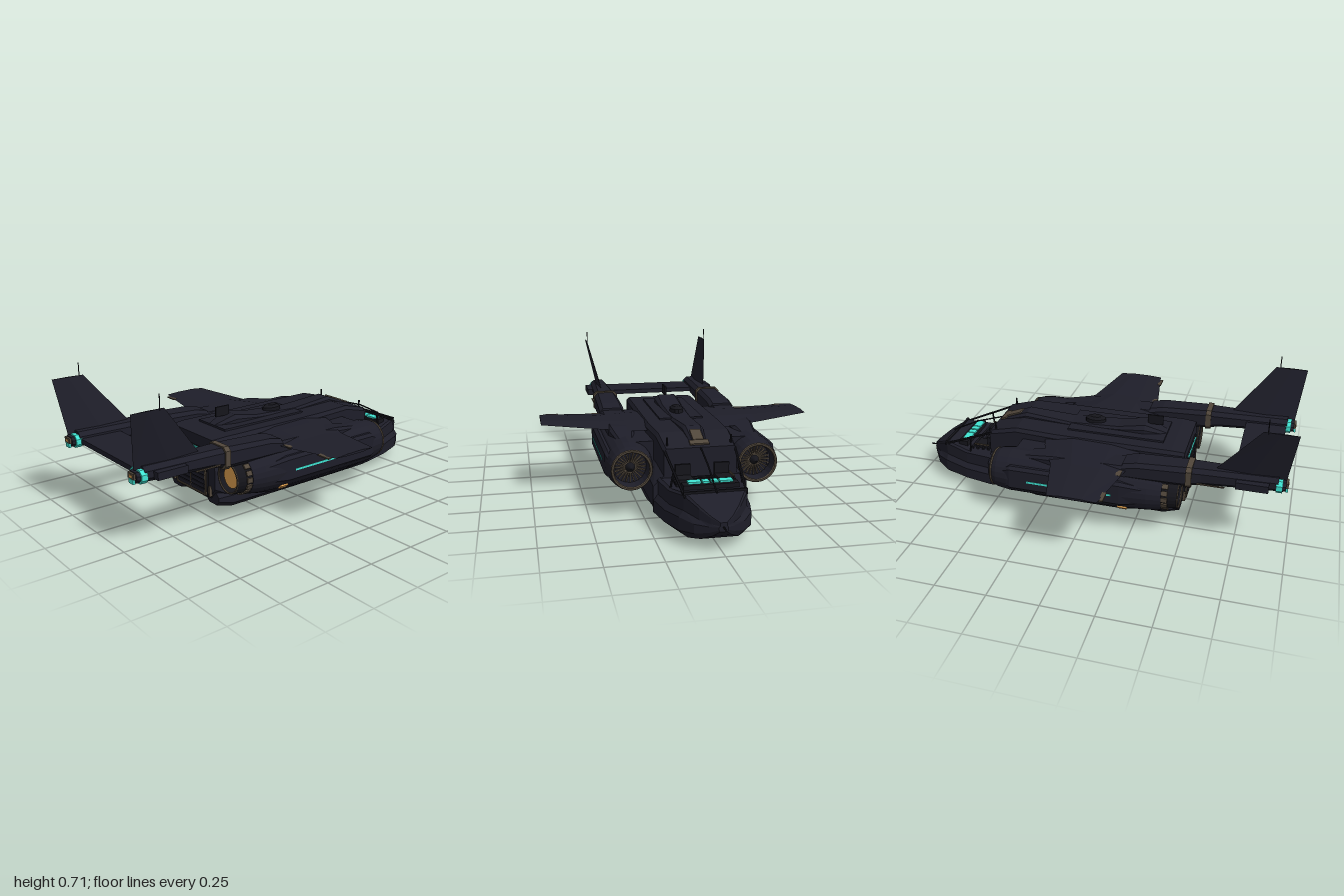
import * as THREE from 'three';

const mat = (name, color, opts = {}) => {
  const m = new THREE.MeshStandardMaterial({ color, flatShading: true, ...opts });
  m.name = name;
  return m;
};

export function createModel() {
  const root = new THREE.Group();
  root.name = 'dropship';
  const hull = mat('navy hull', 0x1e1e29);
  const dark = mat('dark metal', 0x15151b, { side: THREE.DoubleSide });
  const bronze = mat('bronze trim', 0x51473b, { side: THREE.DoubleSide });
  const teal = mat('teal light', 0x40e6d4);
  const orange = mat('orange glow', 0xe6a653);

  const add = (name, geo, m, x = 0, y = 0, z = 0) => {
    const mesh = new THREE.Mesh(geo, m);
    mesh.name = name;
    mesh.position.set(x, y, z);
    root.add(mesh);
    return mesh;
  };
  const box = (name, m, w, h, d, x, y, z) => add(name, new THREE.BoxGeometry(w, h, d), m, x, y, z);
  // Capped skin through rings of 3D points; s = -1 mirrors it to the other side
  const loft = (name, m, rings, s = 1) => {
    const R = rings.map(r => {
      const q = r.map(p => [p[0] * s, p[1], p[2]]);
      return s < 0 ? q.reverse() : q;
    });
    const pos = [], n = R[0].length, tri = (...t) => t.forEach(p => pos.push(...p));
    for (let i = 0; i < R.length - 1; i++) for (let j = 0; j < n; j++) {
      const k = (j + 1) % n;
      tri(R[i][j], R[i][k], R[i + 1][k]);
      tri(R[i][j], R[i + 1][k], R[i + 1][j]);
    }
    const a = R[0], b = R[R.length - 1];
    for (let j = 1; j < n - 1; j++) { tri(a[0], a[j + 1], a[j]); tri(b[0], b[j], b[j + 1]); }
    const g = new THREE.BufferGeometry();
    g.setAttribute('position', new THREE.Float32BufferAttribute(pos, 3));
    g.computeVertexNormals();
    return add(name, g, m);
  };
  // Symmetric fuselage section: bottom, waist and top half widths
  const section = ([z, y0, y1, wl, wt]) => {
    const h = y1 - y0;
    const half = [[wl * 0.75, y0], [wl, y0 + h * 0.18], [wl, y0 + h * 0.48], [wt, y0 + h * 0.62], [wt, y1 - h * 0.05], [wt * 0.93, y1]];
    return [...half, ...half.map(([x, y]) => [-x, y]).reverse()].map(([x, y]) => [x, y, z]);
  };
  // Chamfered rectangle section
  const oct = (x, z, w, y0, y1, c) => [[w, y0 + c], [w, y1 - c], [w - c, y1], [c - w, y1], [-w, y1 - c], [-w, y0 + c], [c - w, y0], [w - c, y0]]
    .map(([a, y]) => [x + a, y, z]);
  const circle = (x, y, z, r, n = 24) => Array.from({ length: n }, (_, i) => {
    const a = i / n * Math.PI * 2;
    return [x + r * Math.cos(a), y + r * Math.sin(a), z];
  });
  const bar = (name, m, a, b, r = 0.006) => {
    const A = new THREE.Vector3(...a), B = new THREE.Vector3(...b), d = B.clone().sub(A);
    const mesh = add(name, new THREE.CylinderGeometry(r, r, d.length(), 6), m);
    mesh.position.copy(A).add(B).multiplyScalar(0.5);
    mesh.quaternion.setFromUnitVectors(new THREE.Vector3(0, 1, 0), d.normalize());
  };

  // Nose with open cockpit tub, then cargo body
  loft('nose', hull, [
    [-0.965, 0.095, 0.135, 0.02, 0.015], [-0.94, 0.07, 0.155, 0.055, 0.05], [-0.9, 0.045, 0.185, 0.11, 0.09],
    [-0.83, 0.027, 0.225, 0.16, 0.14], [-0.7, 0.02, 0.205, 0.195, 0.175], [-0.55, 0.015, 0.21, 0.22, 0.2],
  ].map(section));
  loft('cargoBody', hull, [
    [-0.56, 0.015, 0.345, 0.22, 0.17], [-0.41, 0.015, 0.385, 0.222, 0.18], [-0.2, 0.015, 0.382, 0.222, 0.19],
    [0.3, 0.015, 0.38, 0.215, 0.19], [0.4, 0.035, 0.38, 0.205, 0.19], [0.47, 0.08, 0.375, 0.19, 0.185],
  ].map(section));
  bar('noseProbe', dark, [0, 0.115, -1], [0, 0.115, -0.95], 0.004);
  box('bellyPlate', hull, 0.2, 0.012, 0.9, 0, 0.013, -0.1);

  // Dorsal spine, sensor and fairings
  loft('spine', hull, [oct(0, -0.54, 0.035, 0.33, 0.355, 0.008), oct(0, -0.4, 0.05, 0.37, 0.41, 0.015),
    oct(0, -0.15, 0.055, 0.37, 0.392, 0.01), oct(0, 0.1, 0.06, 0.37, 0.405, 0.012), oct(0, 0.24, 0.065, 0.37, 0.43, 0.02), oct(0, 0.35, 0.03, 0.37, 0.39, 0.008)]);
  box('dorsalDeck', hull, 0.22, 0.02, 0.5, 0, 0.38, 0.1);
  loft('turret', dark, [circle(0, 0, 0.385, 0.035, 12), circle(0, 0, 0.415, 0.033, 12), circle(0, 0, 0.426, 0.02, 12)]
    .map(r => r.map(([x, y, h]) => [x, h, -y * 1.6 - 0.03])));
  box('sensorMast', dark, 0.008, 0.05, 0.08, 0, 0.447, 0.285);
  const slope = Math.atan2(0.055, 0.14);
  box('roofBracket', bronze, 0.09, 0.008, 0.03, 0, 0.361, -0.53).rotation.x = -slope;
  box('roofBracketStem', bronze, 0.05, 0.008, 0.08, 0, 0.383, -0.478).rotation.x = -slope;

  // Cockpit: frame, console, screens, seats
  bar('canopyCenterBar', dark, [0, 0.345, -0.56], [0, 0.3, -0.7], 0.004);
  bar('canopyCenterBar', dark, [0, 0.3, -0.7], [0, 0.225, -0.85], 0.004);
  box('canopyCrossbar', dark, 0.28, 0.012, 0.012, 0, 0.225, -0.83);
  box('console', dark, 0.25, 0.04, 0.05, 0, 0.215, -0.74);
  for (const [x, w] of [[-0.071, 0.058], [-0.02, 0.03], [0.02, 0.03], [0.071, 0.058]]) box('screen', teal, w, 0.008, 0.04, x, 0.24, -0.73);
  for (const z of [-0.59, -0.62, -0.65, -0.68]) box('floorRib', dark, 0.28, 0.012, 0.012, 0, 0.213, z);
  for (const s of [-1, 1]) {
    bar('canopySideBar', dark, [s * 0.165, 0.335, -0.55], [s * 0.135, 0.21, -0.84]);
    bar('canopyPost', dark, [s * 0.165, 0.2, -0.68], [s * 0.148, 0.285, -0.68], 0.005);
    bar('aerial', dark, [s * 0.15, 0.31, -0.53], [s * 0.15, 0.39, -0.53], 0.005);
    box('seat', dark, 0.07, 0.02, 0.07, s * 0.09, 0.22, -0.63);
    box('seatBack', dark, 0.07, 0.07, 0.015, s * 0.09, 0.245, -0.59);
    box('seatTrim', bronze, 0.005, 0.008, 0.08, s * 0.13, 0.232, -0.63);
  }

  // Rear ramp with slats, frame and light bar
  box('rampPanel', dark, 0.27, 0.24, 0.012, 0, 0.2, 0.472);
  for (let i = 0; i < 9; i++) box('rampSlat', hull, 0.23, 0.018, 0.008, 0, 0.105 + i * 0.023, 0.478);
  for (const x of [-0.125, 0, 0.125]) box('rampRail', bronze, x ? 0.01 : 0.005, 0.22, 0.01, x, 0.2, 0.479);
  box('rampSill', bronze, 0.25, 0.008, 0.01, 0, 0.09, 0.479);
  box('rampLight', teal, 0.215, 0.007, 0.012, 0, 0.315, 0.477);

  for (const s of [-1, 1]) {
    // Lower sponson and belly skid
    loft('sponson', hull, [oct(0.15, -0.5, 0.06, 0.04, 0.1, 0.02), oct(0.16, -0.38, 0.06, 0.03, 0.12, 0.025),
      oct(0.16, 0.38, 0.06, 0.03, 0.12, 0.025), oct(0.155, 0.46, 0.05, 0.05, 0.11, 0.02)], s);
    box('rampActuator', bronze, 0.012, 0.05, 0.015, s * 0.155, 0.115, 0.475);
    box('skid', hull, 0.02, 0.015, 0.9, s * 0.108, 0.0075, -0.1);

    // Engine nacelle, hollow at both ends
    const nx = 0.302, ny = 0.228;
    loft('nacelle', hull, [[-0.4, 0.08], [-0.465, 0.084], [-0.47, 0.092], [-0.44, 0.104], [-0.38, 0.112], [0.2, 0.113],
      [0.33, 0.104], [0.4, 0.093], [0.4, 0.08], [0.36, 0.078]].map(([z, r]) => circle(nx, ny, z, r)), s);
    loft('nacelleSidePlate', hull, [oct(0.385, -0.41, 0.015, 0.19, 0.27, 0.008), oct(0.392, -0.36, 0.024, 0.17, 0.3, 0.015),
      oct(0.392, 0.2, 0.024, 0.17, 0.3, 0.015), oct(0.375, 0.36, 0.015, 0.19, 0.27, 0.008)], s);
    loft('nacelleKeel', hull, [oct(nx, -0.36, 0.03, 0.12, 0.16, 0.01), oct(nx, -0.25, 0.04, 0.103, 0.16, 0.015),
      oct(nx, 0.2, 0.04, 0.103, 0.16, 0.015), oct(nx, 0.34, 0.03, 0.125, 0.16, 0.01)], s);
    box('nacellePylon', hull, 0.14, 0.12, 0.62, s * 0.23, 0.275, -0.06);
    box('nacelleLight', teal, 0.006, 0.01, 0.43, s * 0.4145, 0.229, -0.055);
    box('nacelleMarker', orange, 0.008, 0.025, 0.045, s * 0.383, 0.147, 0.21).rotation.z = -s * Math.PI / 4;
    add('intakeRing', new THREE.TorusGeometry(0.09, 0.008, 6, 24), bronze, s * nx, ny, -0.468);
    for (let i = 0; i < 12; i++) {
      const blade = box('fanBlade', bronze, 0.15, 0.006, 0.012, s * nx, ny, -0.41);
      blade.rotation.z = i * Math.PI / 12;
    }
    add('intakeHub', new THREE.ConeGeometry(0.03, 0.05, 12).rotateX(-Math.PI / 2), dark, s * nx, ny, -0.43);
    // Exhaust
    add('nozzle', new THREE.CylinderGeometry(0.076, 0.085, 0.09, 24, 1, true).rotateX(Math.PI / 2), dark, s * nx, ny, 0.435);
    add('exhaustGlow', new THREE.CylinderGeometry(0.053, 0.053, 0.02, 24).rotateX(Math.PI / 2), orange, s * nx, ny, 0.45);
    add('exhaustRing', new THREE.TorusGeometry(0.073, 0.005, 6, 24), bronze, s * nx, ny, 0.475);
    for (let i = 0; i < 16; i++) {
      const a = i * Math.PI / 8;
      const petal = box('nozzlePetal', bronze, 0.008, 0.024, 0.032, s * nx + 0.086 * Math.cos(a), ny + 0.086 * Math.sin(a), 0.413);
      petal.rotation.z = a;
    }

    // Tail boom with band, end light and small thruster
    loft('boom', hull, [oct(0.305, 0.2, 0.066, 0.3, 0.375, 0.018), oct(0.305, 0.27, 0.066, 0.3, 0.39, 0.018),
      oct(0.303, 0.5, 0.063, 0.3, 0.4, 0.02), oct(0.3, 0.58, 0.058, 0.315, 0.4, 0.02), oct(0.298, 0.93, 0.045, 0.33, 0.4, 0.02)], s);
    loft('boomBand', bronze, [oct(0.303, 0.507, 0.068, 0.297, 0.406, 0.018), oct(0.303, 0.535, 0.067, 0.299, 0.406, 0.018)], s);
    loft('boomLight', teal, [oct(0.3, 0.92, 0.05, 0.327, 0.388, 0.018), oct(0.3, 0.95, 0.05, 0.327, 0.388, 0.018)], s);
    loft('boomCap', hull, [oct(0.3, 0.945, 0.044, 0.332, 0.382, 0.016), oct(0.3, 0.965, 0.036, 0.333, 0.379, 0.014)], s);
    box('boomThruster', bronze, 0.05, 0.026, 0.014, s * 0.3, 0.362, 0.968);
    box('boomThrusterGlow', orange, 0.022, 0.01, 0.008, s * 0.3, 0.361, 0.973);
    box('boomThrusterLight', teal, 0.036, 0.02, 0.012, s * 0.3, 0.337, 0.969);
    box('boomStrip', bronze, 0.006, 0.006, 0.13, s * 0.362, 0.33, 0.625);

    // Wing
    const wingRing = (x, y, t, zl, zt) => [[x, y, zl], [x, y + t, zl + (zt - zl) * 0.3], [x, y + t * 0.8, zl + (zt - zl) * 0.7],
      [x, y, zt], [x, y - t * 0.8, zl + (zt - zl) * 0.7], [x, y - t, zl + (zt - zl) * 0.3]];
    loft('wing', hull, [wingRing(0.1, 0.36, 0.02, -0.27, 0.25), wingRing(0.24, 0.352, 0.022, -0.23, 0.25),
      wingRing(0.4, 0.347, 0.016, -0.145, 0.215), wingRing(0.692, 0.364, 0.006, -0.065, 0.17)], s);
    loft('wingRootFairing', hull, [oct(0.305, -0.3, 0.04, 0.3, 0.335, 0.01), oct(0.305, -0.15, 0.065, 0.3, 0.36, 0.015),
      oct(0.305, 0.22, 0.066, 0.3, 0.365, 0.015)], s);
    box('wingFlapRail', bronze, 0.05, 0.008, 0.025, s * 0.4, 0.347, 0.195);
    box('wingTipRail', bronze, 0.07, 0.006, 0.02, s * 0.63, 0.358, 0.18);
    bar('wingUnderRod', dark, [s * 0.33, 0.325, 0.1], [s * 0.62, 0.348, 0.1], 0.004);

    // Tail fin and aerial
    const fin = (x, y, t, zf, zb) => [[x + t, y, (zf + zb) / 2], [x, y, zf], [x - t, y, (zf + zb) / 2], [x, y, zb]];
    loft('tailFin', hull, [fin(0.308, 0.385, 0.013, 0.63, 0.965), fin(0.366, 0.648, 0.005, 0.84, 0.998)], s);
    bar('finAerial', dark, [s * 0.365, 0.64, 0.86], [s * 0.365, 0.71, 0.86], 0.0025);
    box('tailplaneTip', hull, 0.035, 0.035, 0.15, s * 0.362, 0.36, 0.815);
  }
  // Tailplane joining the booms
  box('tailplane', hull, 0.62, 0.024, 0.205, 0, 0.358, 0.823);
  return root;
}
